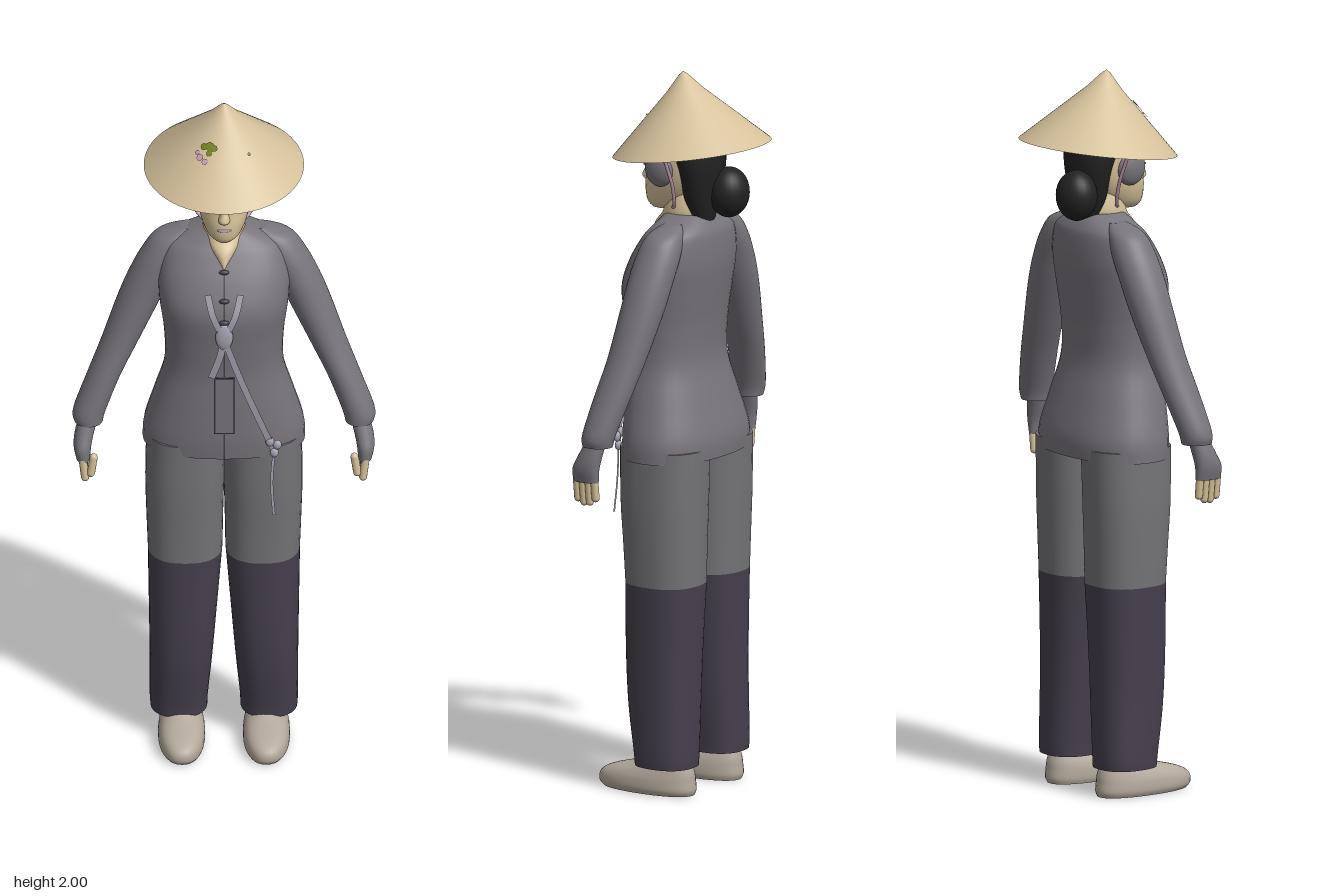
import * as THREE from 'three';

const mat = (name, color, double) => {
  const m = new THREE.MeshStandardMaterial({ color });
  m.name = name;
  if (double) m.side = THREE.DoubleSide;
  return m;
};

// Smooth body from horizontal oval rings, bottom to top: [y, centreX, halfWidth, zBack, zFront]
function loft(rings, e = 1, side = 1, sub = 5, n = 36) {
  const fine = [];
  for (let i = 0; i < rings.length - 1; i++) {
    const [a, b, c, d] = [-1, 0, 1, 2].map(k => rings[Math.min(Math.max(i + k, 0), rings.length - 1)]);
    for (let s = 0; s < sub; s++) {
      const t = s / sub;
      fine.push(b.map((v, k) => v + 0.5 * t * (c[k] - a[k] + t * (2 * a[k] - 5 * v + 4 * c[k] - d[k]
        + t * (3 * (v - c[k]) + d[k] - a[k])))));
    }
  }
  fine.push(rings[rings.length - 1]);
  const pos = [], idx = [];
  const pw = v => Math.sign(v) * Math.abs(v) ** e;
  const addRing = ([y, cx, rx, zb, zf]) => {
    for (let j = 0; j < n; j++) {
      const a = (j / n) * Math.PI * 2;
      pos.push(side * cx + rx * pw(Math.cos(a)), y, (zb + zf) / 2 + (zf - zb) / 2 * pw(Math.sin(a)));
    }
  };
  fine.forEach(addRing);
  for (let i = 0; i < fine.length - 1; i++) for (let j = 0; j < n; j++) {
    const a = i * n + j, b = i * n + (j + 1) % n;
    idx.push(a, a + n, b, b, a + n, b + n);
  }
  // end caps with their own corners, so the rim stays sharp
  [fine[0], fine[fine.length - 1]].forEach((r, top) => {
    const o = pos.length / 3;
    addRing(r);
    pos.push(side * r[1], r[0], (r[3] + r[4]) / 2);
    for (let j = 0; j < n; j++) {
      const p = o + j, q = o + (j + 1) % n;
      idx.push(o + n, top ? q : p, top ? p : q);
    }
  });
  const g = new THREE.BufferGeometry();
  g.setAttribute('position', new THREE.Float32BufferAttribute(pos, 3));
  g.setIndex(idx);
  g.computeVertexNormals();
  return g;
}

const curve = pts => new THREE.CatmullRomCurve3(pts.map(p => new THREE.Vector3(...p)));

// Flat strip facing the front along a path
function ribbon(pts, width, n = 24) {
  const c = curve(pts), pos = [], idx = [];
  for (let i = 0; i <= n; i++) {
    const p = c.getPoint(i / n), t = c.getTangent(i / n);
    const l = Math.hypot(t.x, t.y) || 1, dx = -t.y / l * width / 2, dy = t.x / l * width / 2;
    pos.push(p.x + dx, p.y + dy, p.z, p.x - dx, p.y - dy, p.z);
    if (i < n) idx.push(2 * i, 2 * i + 1, 2 * i + 2, 2 * i + 1, 2 * i + 3, 2 * i + 2);
  }
  const g = new THREE.BufferGeometry();
  g.setAttribute('position', new THREE.Float32BufferAttribute(pos, 3));
  g.setIndex(idx);
  g.computeVertexNormals();
  return g;
}

export function createModel() {
  const model = new THREE.Group();
  model.name = 'farmer';
  const straw = mat('straw', 0xd6c29c, true), skin = mat('skin', 0xd8c49a);
  const jacketGrey = mat('jacketGrey', 0x78747b), trouserGrey = mat('trouserGrey', 0x747377);
  const darkCloth = mat('darkCloth', 0x453f4c), shoeBeige = mat('shoeBeige', 0xb3a99c);
  const hairBlack = mat('hairBlack', 0x222222), scarf = mat('scarfLavender', 0xa3a1b0, true);
  const pink = mat('pink', 0xc8a0b8, true), green = mat('leafGreen', 0x75821f, true);

  const add = (name, geo, m, x = 0, y = 0, z = 0, parent = model) => {
    const mesh = new THREE.Mesh(geo, m);
    mesh.name = name;
    mesh.position.set(x, y, z);
    parent.add(mesh);
    return mesh;
  };
  const ball = (name, m, x, y, z, sx, sy = sx, sz = sx) =>
    add(name, new THREE.SphereGeometry(1, 24, 16), m, x, y, z).scale.set(sx, sy, sz);

  // Jacket body
  add('jacket', loft([
    [0.94, 0, 0.222, -0.115, 0.152], [1.0, 0, 0.218, -0.115, 0.157], [1.1, 0, 0.19, -0.09, 0.158],
    [1.2, 0, 0.163, -0.066, 0.158], [1.3, 0, 0.164, -0.068, 0.168], [1.4, 0, 0.177, -0.08, 0.178],
    [1.48, 0, 0.18, -0.088, 0.15], [1.55, 0, 0.163, -0.085, 0.108], [1.58, 0, 0.13, -0.075, 0.085],
    [1.61, 0, 0.062, -0.055, 0.065]], 0.87), jacketGrey);

  // Jacket front: seam, buttons, panel with dark outline
  add('frontSeam', ribbon([[0, 1.54, 0.12], [0, 1.48, 0.154], [0, 1.4, 0.181], [0, 1.3, 0.171],
    [0, 1.2, 0.161], [0, 1.1, 0.161], [0, 0.945, 0.156]], 0.004), darkCloth).material.side = THREE.DoubleSide;
  [[1.52, 0.128], [1.45, 0.166], [1.39, 0.18]].forEach(([y, z]) =>
    ball('button', darkCloth, 0, y, z, 0.014, 0.007, 0.007));
  add('frontPanelEdge', new THREE.BoxGeometry(0.056, 0.176, 0.006), darkCloth, 0, 1.115, 0.159);
  add('frontPanel', new THREE.BoxGeometry(0.048, 0.168, 0.008), jacketGrey, 0, 1.115, 0.16);

  // Scarf: two shoulder ends meeting in a knot, two hanging tails
  add('scarfEnd', ribbon([[-0.045, 1.47, 0.165], [-0.03, 1.41, 0.184], [0, 1.34, 0.183]], 0.018), scarf);
  add('scarfEnd', ribbon([[0.045, 1.47, 0.165], [0.03, 1.41, 0.184], [0, 1.34, 0.183]], 0.018), scarf);
  ball('scarfKnot', scarf, 0, 1.345, 0.18, 0.024, 0.04, 0.01);
  add('scarfShortTail', ribbon([[0, 1.34, 0.184], [-0.012, 1.28, 0.18], [-0.035, 1.21, 0.172]], 0.02), scarf);
  add('scarfLongTail', ribbon([[0, 1.34, 0.187], [0.04, 1.22, 0.177], [0.085, 1.1, 0.168], [0.135, 0.97, 0.15]], 0.018), scarf);
  [[0.125, 0.995], [0.145, 0.985], [0.137, 0.96]].forEach(([x, y]) =>
    ball('tailKnot', scarf, x, y, 0.15, 0.012, 0.014, 0.009));
  add('tailCord', ribbon([[0.137, 0.97, 0.15], [0.13, 0.87, 0.158], [0.136, 0.77, 0.165]], 0.008), scarf);

  for (const s of [1, -1]) {
    const side = s > 0 ? 'left' : 'right';
    // Trouser legs in two colours, and shoes
    add(side + 'UpperTrouser', loft([[0.59, 0.106, 0.102, -0.093, 0.122], [0.7, 0.107, 0.105, -0.096, 0.128],
      [0.82, 0.107, 0.108, -0.1, 0.136], [0.97, 0.104, 0.108, -0.104, 0.14]], 0.83, s), trouserGrey);
    add(side + 'LowerTrouser', loft([[0.08, 0.123, 0.078, -0.085, 0.086], [0.12, 0.123, 0.08, -0.087, 0.09],
      [0.25, 0.117, 0.086, -0.087, 0.11], [0.4, 0.112, 0.093, -0.088, 0.119],
      [0.59, 0.106, 0.102, -0.093, 0.122]], 0.83, s), darkCloth);
    add(side + 'Shoe', loft([[0, 0.115, 0.058, -0.078, 0.205], [0.015, 0.116, 0.064, -0.084, 0.218],
      [0.04, 0.116, 0.063, -0.082, 0.213], [0.06, 0.116, 0.057, -0.08, 0.18],
      [0.085, 0.117, 0.045, -0.073, 0.095], [0.11, 0.118, 0.042, -0.068, 0.06]], 0.88, s), shoeBeige);

    // Sleeve with cuff
    add(side + 'Sleeve', loft([[1.015, 0.37, 0.039, 0.02, 0.106], [1.05, 0.367, 0.045, 0.012, 0.106],
      [1.15, 0.328, 0.046, -0.012, 0.093], [1.25, 0.284, 0.051, -0.032, 0.078], [1.37, 0.234, 0.059, -0.052, 0.07],
      [1.45, 0.2, 0.061, -0.06, 0.066], [1.52, 0.165, 0.06, -0.062, 0.06], [1.57, 0.135, 0.052, -0.052, 0.045],
      [1.595, 0.1, 0.02, -0.03, 0.02]], 1, s), jacketGrey);

    // Gloved hand with bare fingers and thumb
    add(side + 'Glove', loft([[0.915, 0.385, 0.019, 0.052, 0.13], [0.95, 0.387, 0.024, 0.05, 0.13],
      [0.985, 0.382, 0.026, 0.045, 0.115], [1.03, 0.37, 0.026, 0.038, 0.095]], 0.9, s), jacketGrey);
    [[0.063, 0.05], [0.082, 0.062], [0.101, 0.064], [0.12, 0.055]].forEach(([z, len]) => {
      const f = add(side + 'Finger', new THREE.CapsuleGeometry(0.011, len, 6, 12), skin, s * 0.383, 0.92 - len / 2, z);
      f.rotation.z = -s * 0.12;
    });
    const thumb = add(side + 'Thumb', new THREE.CapsuleGeometry(0.011, 0.05, 6, 12), skin, s * 0.36, 0.905, 0.122);
    thumb.rotation.z = s * 0.15;

    // Eyes, cloth over the cheeks, hat strap
    ball(side + 'Eye', hairBlack, s * 0.03, 1.733, 0.13, 0.013, 0.004, 0.005);
    ball(side + 'CheekCloth', jacketGrey, s * 0.07, 1.735, 0.06, 0.024, 0.05, 0.046);
    add(side + 'HatStrap', new THREE.TubeGeometry(curve([[s * 0.14, 1.79, 0], [s * 0.1, 1.7, -0.002],
      [s * 0.07, 1.64, 0.012], [0, 1.61, 0.075]]), 24, 0.005, 8), pink);
  }

  // Neck with open collar, head, nose and mouth
  add('neck', loft([[1.53, 0, 0.008, 0.04, 0.127], [1.57, 0, 0.042, -0.02, 0.115], [1.61, 0, 0.058, -0.05, 0.084],
    [1.67, 0, 0.048, -0.04, 0.08]]), skin);
  add('head', loft([[1.612, 0, 0.025, 0.06, 0.125], [1.63, 0, 0.047, 0.01, 0.139], [1.67, 0, 0.065, -0.03, 0.143],
    [1.72, 0, 0.074, -0.06, 0.139], [1.78, 0, 0.078, -0.06, 0.143], [1.84, 0, 0.07, -0.05, 0.125],
    [1.88, 0, 0.03, 0, 0.07]]), skin);
  add('nose', loft([[1.685, 0, 0.014, 0.12, 0.153], [1.695, 0, 0.016, 0.12, 0.161], [1.72, 0, 0.009, 0.12, 0.15],
    [1.745, 0, 0.006, 0.12, 0.14]], 1, 1, 4, 16), skin);
  ball('mouth', pink, 0, 1.66, 0.139, 0.02, 0.005, 0.006);

  // Hair and bun
  add('hair', loft([[1.59, 0, 0.035, -0.066, -0.01], [1.65, 0, 0.058, -0.078, 0.01], [1.74, 0, 0.081, -0.09, 0.025],
    [1.81, 0, 0.086, -0.09, 0.06], [1.86, 0, 0.07, -0.07, 0.07], [1.89, 0, 0.03, -0.02, 0.05]]), hairBlack);
  ball('hairBun', hairBlack, -0.035, 1.67, -0.098, 0.06, 0.07, 0.056);

  // Conical hat, tipped forward
  const hat = new THREE.Group();
  hat.name = 'hat';
  hat.position.set(0, 1.788, 0);
  hat.rotation.x = 0.14;
  model.add(hat);
  const profile = [[0.219, 0], [0.12, 0.095], [0.05, 0.162], [0.012, 0.205], [0.0001, 0.214]];
  add('hatCone', new THREE.LatheGeometry(profile.map(p => new THREE.Vector2(...p)), 64), straw, 0, 0, 0, hat);

  // Painted sprigs on the hat, laid flat on the cone: [angle, radius, size]
  const sprig = (name, m, list) => list.forEach(([a, r, size]) => {
    const d = new THREE.Mesh(new THREE.CircleGeometry(size, 7), m);
    const nrm = new THREE.Vector3(Math.sin(a) * 0.69, 0.72, Math.cos(a) * 0.69);
    d.name = name;
    d.position.set(Math.sin(a) * r, 0.095 + (0.12 - r) * 0.957, Math.cos(a) * r).addScaledVector(nrm, 0.004);
    d.lookAt(d.position.clone().add(nrm));
    hat.add(d);
  });
  sprig('leaf', green, [[-0.62, 0.092, 0.01], [-0.45, 0.088, 0.013], [-0.3, 0.09, 0.01], [-0.4, 0.102, 0.009], [0.65, 0.11, 0.005]]);
  sprig('blossom', pink, [[-0.6, 0.115, 0.01], [-0.45, 0.12, 0.009], [-0.72, 0.108, 0.007]]);

  return model;
}
